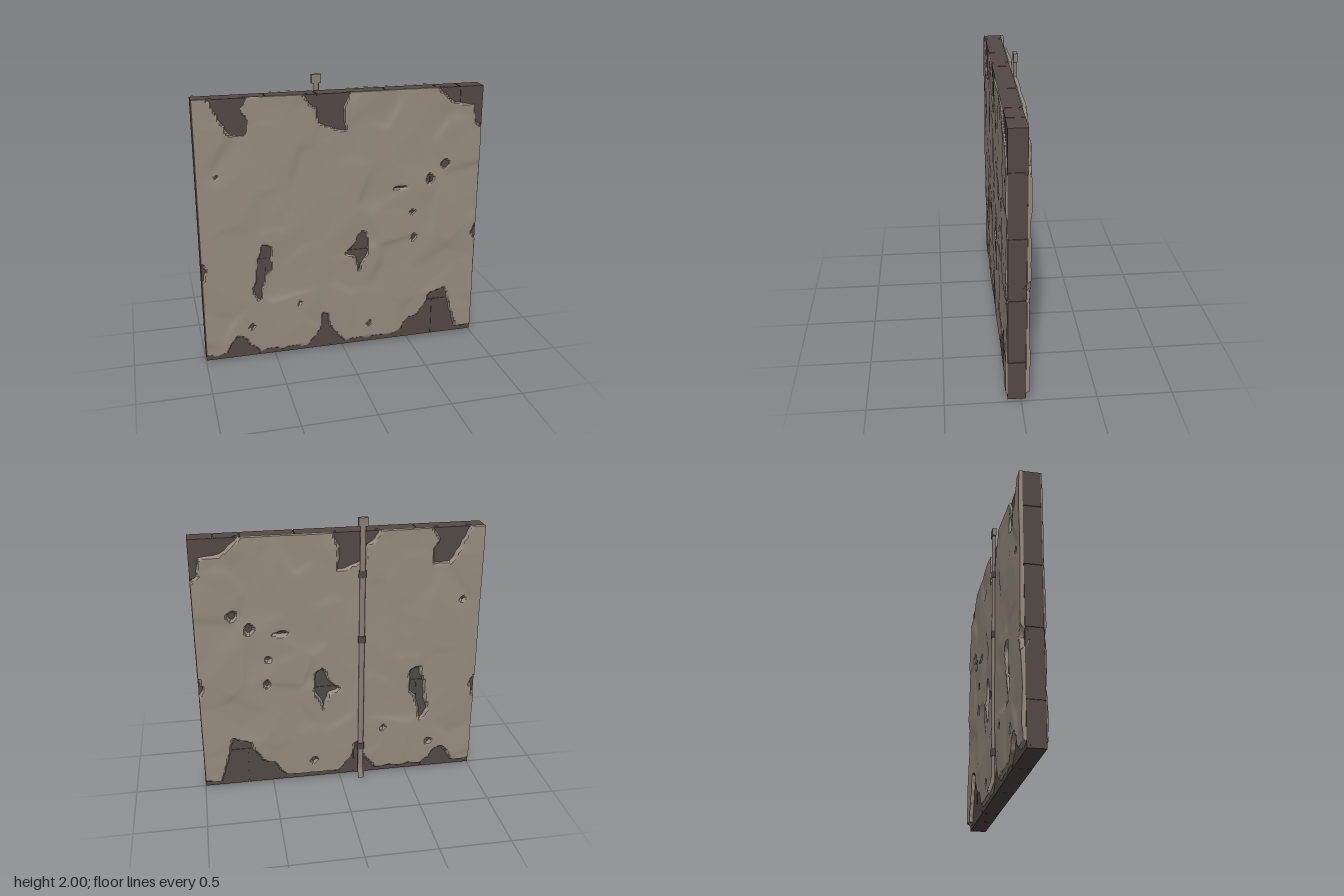
import * as THREE from 'three';
import { toCreasedNormals } from 'three/addons/utils/BufferGeometryUtils.js';

const plasterMat = new THREE.MeshStandardMaterial({ color: 0x968b7e });
plasterMat.name = 'plaster';
const stoneMat = new THREE.MeshStandardMaterial({ color: 0x534946 });
stoneMat.name = 'darkStone';
const pipeMat = new THREE.MeshStandardMaterial({ color: 0x8a8076, side: THREE.DoubleSide });
pipeMat.name = 'pipeMetal';

// Seeded random numbers
let seed = 7;
const rand = () => (seed = (seed * 16807) % 2147483647) / 2147483647;

const BOTTOM = 0.025, TOP = 1.903, FRONT = 0.09, BACK = -0.03;

// Places where the plaster has fallen away, as x, y outlines
const topLeftGap = [-0.95, 2, -0.82, 1.75, -0.76, 1.65, -0.66, 1.66, -0.64, 1.74, -0.69, 1.82, -0.58, 2];
const topMiddleGap = [-0.32, 2, -0.24, 1.84, -0.19, 1.81, -0.17, 1.7, 0.02, 1.64, 0, 1.8, 0.1, 2];
const topRightGap = [0.6, 1.95, 0.8, 1.79, 0.94, 1.77, 0.95, 1.65, 1.1, 1.5, 1.1, 2];
const middleGap = [0.13, 0.91, 0.18, 0.88, 0.18, 0.76, 0.12, 0.61, 0.09, 0.71, 0.02, 0.75, 0.09, 0.82];
const leftGap = [-0.58, 0.87, -0.52, 0.85, -0.51, 0.68, -0.56, 0.64, -0.6, 0.46, -0.64, 0.52, -0.61, 0.72];
const lowLeftGap = [-0.86, 0, -0.82, 0.14, -0.77, 0.18, -0.72, 0.17, -0.69, 0.11, -0.52, 0];
const lowMiddleGap = [-0.3, 0, -0.16, 0.18, -0.15, 0.3, -0.11, 0.28, -0.1, 0.19, 0.05, 0];
const lowRightGap = [0.35, 0, 0.5, 0.17, 0.58, 0.2, 0.66, 0.35, 0.78, 0.4, 0.86, 0.1, 0.88, 0];
const gaps = [topLeftGap, topMiddleGap, topRightGap, middleGap, leftGap, lowLeftGap, lowMiddleGap, lowRightGap];

// Diamond chips, nicked from the sides and scattered over the face
const chip = (x, y, rx = 0.015, ry = 0.017) => gaps.push([x - rx, y, x, y + ry, x + rx, y, x, y - ry]);
chip(1, 0.82, 0.035, 0.07);
chip(-1, 0.71, 0.04, 0.07);
chip(0.42, 1.205, 0.045, 0.018);
chip(0.63, 1.25, 0.027, 0.035);
chip(0.74, 1.36, 0.032, 0.028);
chip(-0.87, 1.38);
chip(0.51, 1.02);
chip(0.52, 0.82, 0.018, 0.03);
chip(-0.67, 0.25);
chip(0.2, 0.17);
chip(-0.32, 0.4);

// Signed distance to one outline, negative inside
function outlineDistance(g, x, y) {
  let best = 1, inside = false;
  for (let i = 0, j = g.length - 2; i < g.length; j = i, i += 2) {
    const ax = g[j], ay = g[j + 1], dx = g[i] - ax, dy = g[i + 1] - ay;
    const t = THREE.MathUtils.clamp(((x - ax) * dx + (y - ay) * dy) / (dx * dx + dy * dy), 0, 1);
    best = Math.min(best, Math.hypot(x - ax - t * dx, y - ay - t * dy));
    if ((ay > y) !== (g[i + 1] > y) && x < ax + (dx * (y - ay)) / dy) inside = !inside;
  }
  return inside ? -best : best;
}

// Distance to the nearest broken edge, including the worn foot, with a ragged wobble
function edgeDistance(x, y) {
  const wobble = 0.004 * Math.sin(41 * x + 23 * y) + 0.003 * Math.sin(67 * y - 38 * x);
  return Math.min(y - 0.055, ...gaps.map((g) => outlineDistance(g, x, y))) + wobble;
}

// Trowelled relief: softly blended tilted patches
const patches = Array.from({ length: 60 }, () => ({
  x: rand() * 2.1 - 1.05, y: rand() * 2, sx: (rand() - 0.5) * 0.09, sy: (rand() - 0.5) * 0.09, h: rand() * 0.004,
}));
function relief(x, y) {
  let sum = 0, weight = 0;
  for (const p of patches) {
    const dx = x - p.x, dy = y - p.y;
    const w = Math.exp(-45 * Math.hypot(dx, dy));
    sum += w * (p.h + p.sx * dx + p.sy * dy);
    weight += w;
  }
  return THREE.MathUtils.clamp(sum / weight, -0.005, 0.005);
}

// One plaster skin; side is 1 for the front, -1 for the back
function plasterSkin(name, side, base, thickness) {
  const nx = 150, ny = 140;
  const geo = new THREE.PlaneGeometry(2, 2, nx, ny);
  const pos = geo.attributes.position;
  const dist = [];
  // Keep the outermost ring narrow for a crisp rim
  const rim = (i, n) => (i === 0 ? 0 : i === n ? 1 : i === 1 ? 0.002 : i === n - 1 ? 0.998 : i / n);
  for (let k = 0; k < pos.count; k++) {
    const i = k % (nx + 1), j = Math.floor(k / (nx + 1));
    const x = side * (rim(i, nx) * 2 - 1) * 0.999;
    const y = TOP - rim(j, ny) * (TOP - BOTTOM);
    const d = edgeDistance(x, y);
    dist.push(d);
    const onRim = i === 0 || i === nx || j === 0 || j === ny;
    let h = Math.min(thickness + relief(x, y), d * 2);
    h = Math.max(h, -thickness - 0.005);
    if (onRim) h = Math.min(h, 0);
    pos.setXYZ(k, x, y, side * (base + h));
  }
  // Drop the hidden triangles deep within the gaps
  const kept = [], idx = geo.index.array;
  for (let t = 0; t < idx.length; t += 3) {
    const tri = [idx[t], idx[t + 1], idx[t + 2]];
    if (tri.some((v) => dist[v] > -0.015)) kept.push(...tri);
  }
  geo.setIndex(kept);
  const skin = new THREE.Mesh(toCreasedNormals(geo, 0.5), plasterMat);
  skin.name = name;
  return skin;
}

export function createModel() {
  const model = new THREE.Group();
  const add = (parent, name, geo, mat, x = 0, y = 0, z = 0) => {
    const mesh = new THREE.Mesh(geo, mat);
    mesh.name = name;
    mesh.position.set(x, y, z);
    parent.add(mesh);
  };

  // Stone core: a backing slab with blocks laid in courses
  const wall = new THREE.Group();
  wall.name = 'stoneWall';
  model.add(wall);
  const depth = FRONT - BACK, midZ = (FRONT + BACK) / 2;
  add(wall, 'mortar', new THREE.BoxGeometry(1.984, 1.86, depth - 0.012), stoneMat, 0, 0.963, midZ);
  const rows = [0.02, 0.31, 0.77, 1.2, 1.63, 1.9];
  const seams = [
    [-1, -0.62, -0.1, 0.45, 0.68, 1],
    [-1, -0.56, 0.12, 0.6, 1],
    [-1, -0.75, -0.2, 0.4, 1],
    [-1, -0.5, 0.05, 0.63, 1],
    [-1, -0.52, -0.18, 0.3, 0.66, 0.83, 1],
  ];
  seams.forEach((xs, r) => {
    for (let i = 0; i + 1 < xs.length; i++) {
      const w = xs[i + 1] - xs[i] - 0.005, h = rows[r + 1] - rows[r] - 0.005;
      const geo = new THREE.BoxGeometry(w, h, depth - rand() * 0.004);
      add(wall, 'stoneBlock', geo, stoneMat, (xs[i] + xs[i + 1]) / 2, (rows[r] + rows[r + 1]) / 2, midZ);
    }
  });

  // Plaster on both faces
  model.add(plasterSkin('frontPlaster', 1, FRONT, 0.007), plasterSkin('backPlaster', -1, -BACK, 0.021));

  // Drain pipe down the back
  const pipe = new THREE.Group();
  pipe.name = 'drainPipe';
  pipe.position.set(-0.15, 0, -0.062);
  model.add(pipe);
  const tube = (name, radius, y0, y1, mat) => {
    const geo = new THREE.CylinderGeometry(radius, radius, y1 - y0, 12);
    geo.scale(1, 1, 0.6);
    add(pipe, name, geo, mat, 0, (y0 + y1) / 2);
  };
  tube('pipeShaft', 0.02, 0.09, 1.95, pipeMat);
  for (const y of [0.27, 1.13, 1.61]) {
    tube('pipeCollar', 0.027, y - 0.025, y + 0.025, stoneMat);
    add(pipe, 'wallBracket', new THREE.BoxGeometry(0.03, 0.03, 0.03), stoneMat, 0, y, 0.015);
  }
  add(pipe, 'pipeHead', new THREE.BoxGeometry(0.066, 0.06, 0.028), pipeMat, 0, 1.97, 0);

  // Kicked-out spout
  const bend = new THREE.CatmullRomCurve3([
    new THREE.Vector3(0, 0.11, 0), new THREE.Vector3(0, 0.075, -0.003),
    new THREE.Vector3(0, 0.045, -0.014), new THREE.Vector3(0, 0.008, -0.026),
  ]);
  const spout = new THREE.TubeGeometry(bend, 10, 0.014, 10);
  spout.scale(1.5, 1, 1);
  add(pipe, 'pipeSpout', spout, pipeMat);

  return model;
}
